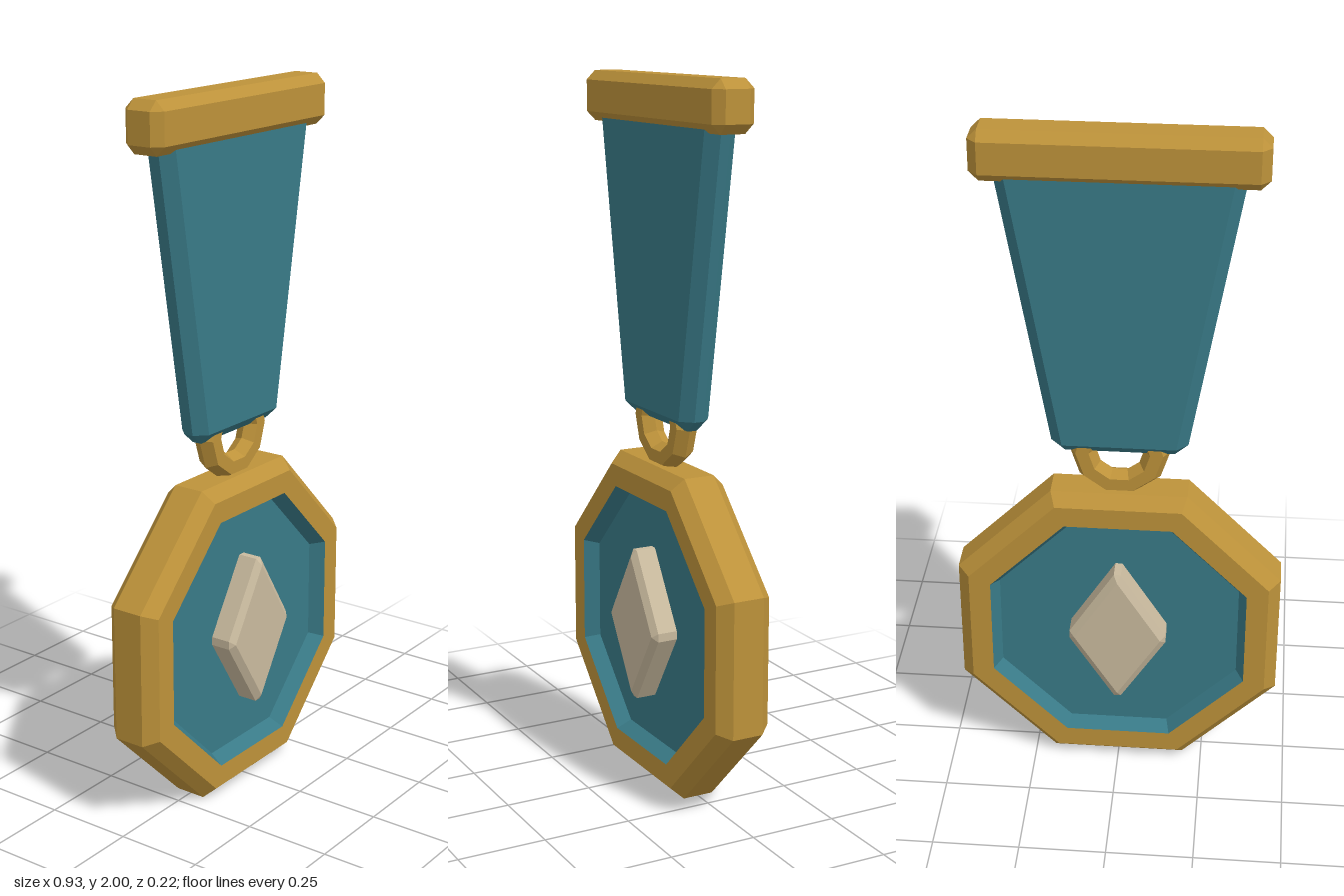
import * as THREE from 'three';
import { ConvexGeometry } from 'three/addons/geometries/ConvexGeometry.js';

const gold = new THREE.MeshStandardMaterial({ color: 0xbd923a });
gold.name = 'gold';
const teal = new THREE.MeshStandardMaterial({ color: 0x397a87 });
teal.name = 'teal';
const cream = new THREE.MeshStandardMaterial({ color: 0xc9ba9e });
cream.name = 'cream';

// Split all faces so every facet is flat
function faceted(geometry) {
  const g = geometry.index ? geometry.toNonIndexed() : geometry;
  g.computeVertexNormals();
  return g;
}

// Box with chamfered edges; topScale widens the upper end along x
function chamferedBox(hx, hy, hz, c, topScale = 1) {
  const points = [];
  for (const sx of [-1, 1]) for (const sy of [-1, 1]) for (const sz of [-1, 1]) {
    for (const [ix, iy, iz] of [[0, c, c], [c, 0, c], [c, c, 0]]) {
      const y = sy * (hy - iy);
      const spread = hx * (topScale - 1) * (y + hy) / (2 * hy);
      points.push(new THREE.Vector3(sx * (hx + spread - ix), y, sz * (hz - iz)));
    }
  }
  return faceted(new ConvexGeometry(points));
}

// Eight-sided turned shape facing +z; profile is [apothem, z]
function octagonal(profile) {
  const k = 1 / Math.cos(Math.PI / 8);
  const points = profile.map(([r, z]) => new THREE.Vector2(r * k, z));
  const g = new THREE.LatheGeometry(points, 8, Math.PI / 8);
  g.rotateX(Math.PI / 2);
  return faceted(g);
}

// Lozenge with bevelled rim and slightly blunted tips
function lozenge() {
  const points = [];
  for (const s of [-1, 1]) {
    for (const t of [-1, 1]) {
      points.push(new THREE.Vector3(s * 0.125, 0, t * 0.112));
      points.push(new THREE.Vector3(0, s * 0.2, t * 0.112));
      for (const b of [-1, 1]) {
        points.push(new THREE.Vector3(s * 0.14, b * 0.012, t * 0.098));
        points.push(new THREE.Vector3(b * 0.01, s * 0.22, t * 0.098));
      }
    }
  }
  return faceted(new ConvexGeometry(points));
}

export function createModel() {
  const model = new THREE.Group();
  model.name = 'medal';
  const add = (name, geometry, material, y) => {
    const mesh = new THREE.Mesh(geometry, material);
    mesh.name = name;
    mesh.position.y = y;
    model.add(mesh);
  };

  // Medallion: gold rim with a recessed teal face on both sides
  const centre = 0.465;
  add('rim', octagonal([
    [0.37, -0.081], [0.432, -0.081], [0.465, -0.045],
    [0.465, 0.045], [0.432, 0.081], [0.37, 0.081],
  ]), gold, centre);
  add('backFace', octagonal([[0, -0.04], [0.347, -0.04], [0.37, -0.081]]), teal, centre);
  add('frontFace', octagonal([[0.37, 0.081], [0.347, 0.04], [0, 0.04]]), teal, centre);
  add('gem', lozenge(), cream, 0.468);

  // Ring joining the medallion and the ribbon
  add('ring', faceted(new THREE.TorusGeometry(0.104, 0.037, 6, 10)), gold, 1.05);

  // Tapered ribbon hanging from the bar
  add('ribbon', chamferedBox(0.185, 0.435, 0.046, 0.032, 1.81), teal, 1.485);
  add('bar', chamferedBox(0.385, 0.07, 0.062, 0.026), gold, 1.93);

  return model;
}
